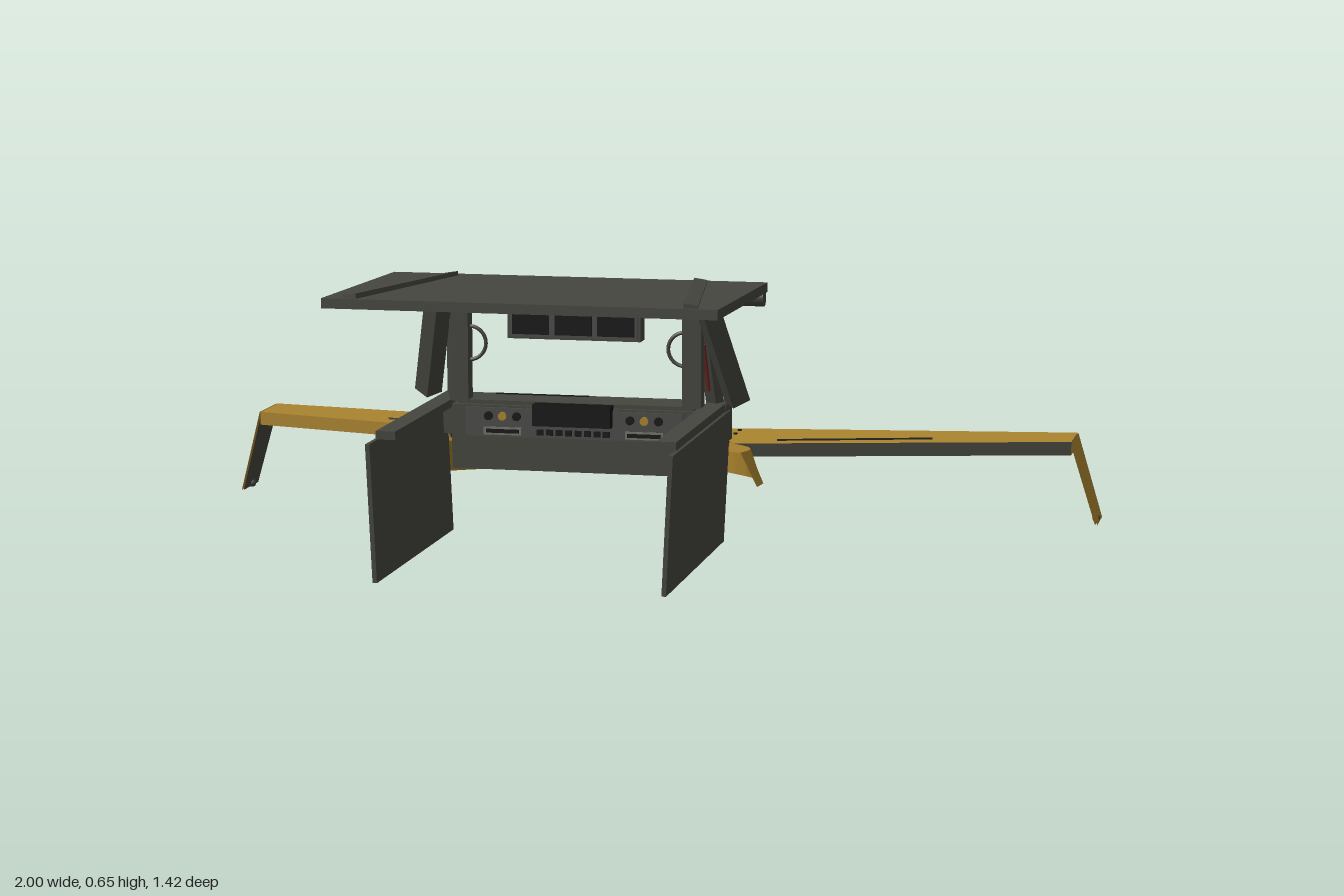
import * as THREE from 'three';

const mat = (name, color, side = THREE.DoubleSide) =>
  Object.assign(new THREE.MeshStandardMaterial({ color, side }), { name });

export function createModel() {
  const yellow = mat('ochre yellow', 0xab842f);
  const dark = mat('dark olive grey', 0x45463f);
  const grey = mat('mid grey', 0x4b4c49);
  const light = mat('light grey', 0x74746c);
  const black = mat('black', 0x131313);
  const red = mat('dark red', 0x6e2420);

  const model = new THREE.Group();
  model.name = 'foldingConsoleCraft';
  const V = (p) => new THREE.Vector3(...p);

  function add(name, geo, material) {
    const m = new THREE.Mesh(geo, material);
    m.name = name;
    model.add(m);
    return m;
  }
  function box(name, material, size, pos, rot = [0, 0, 0]) {
    const m = add(name, new THREE.BoxGeometry(...size), material);
    m.position.set(...pos);
    m.rotation.set(...rot);
    return m;
  }
  // Square or round bar running from a to b
  function bar(name, material, a, b, w, d = w, round = false) {
    const dir = V(b).sub(V(a)), len = dir.length();
    const geo = round ? new THREE.CylinderGeometry(w / 2, w / 2, len, 12) : new THREE.BoxGeometry(w, len, d);
    const m = add(name, geo, material);
    m.position.copy(V(a).add(V(b)).multiplyScalar(0.5));
    m.quaternion.setFromUnitVectors(new THREE.Vector3(0, 1, 0), dir.normalize());
    return m;
  }
  // Flat-faceted sheet spanning rows of points
  function sheet(name, material, rows) {
    const pos = [];
    for (let i = 0; i < rows.length - 1; i++)
      for (let j = 0; j < rows[i].length - 1; j++) {
        const a = rows[i][j], b = rows[i][j + 1], c = rows[i + 1][j + 1], d = rows[i + 1][j];
        pos.push(...a, ...b, ...c, ...a, ...c, ...d);
      }
    const geo = new THREE.BufferGeometry();
    geo.setAttribute('position', new THREE.Float32BufferAttribute(pos, 3));
    geo.computeVertexNormals();
    return add(name, geo, material);
  }

  // Tail shell, open below: z, lower half width, upper half width
  const stations = [[0.13, 0.365, 0.33], [-0.05, 0.345, 0.315], [-0.15, 0.322, 0.298],
    [-0.25, 0.292, 0.275], [-0.35, 0.25, 0.24], [-0.45, 0.205, 0.2], [-0.545, 0.16, 0.155]];
  const crownY = (z) => 0.28 - (0.13 - z) * 0.138;
  const lowY = (z) => 0.195 - (0.13 - z) * 0.134;
  const stripe = (z) => 0.085 - (0.13 - z) * 0.066;
  for (const s of [1, -1]) {
    sheet('tailShellSide', yellow, stations.map(([z, lo, up]) => {
      const p = [[s * up, crownY(z) - 0.014, z], [s * lo, lowY(z), z]];
      return s > 0 ? p : p.reverse();
    }));
    sheet('tailShellTop', yellow, stations.map(([z, , up]) => {
      const p = [[s * stripe(z), crownY(z), z], [s * up, crownY(z) - 0.014, z]];
      return s > 0 ? p : p.reverse();
    }));
    // Dark slots in the deck
    for (const z of [-0.13, -0.33])
      box('deckSlot', black, [0.12, 0.004, 0.007], [s * 0.14, crownY(z) - 0.004, z], [0.138, 0, -s * 0.04]);
  }
  sheet('deckStripe', grey, stations.map(([z]) => [[-stripe(z), crownY(z), z], [stripe(z), crownY(z), z]]));
  const end = -0.545;
  sheet('tailEndWall', yellow, [
    [[-0.155, crownY(end) - 0.014, end], [0.155, crownY(end) - 0.014, end]],
    [[-0.16, lowY(end), end], [0.16, lowY(end), end]]]);
  box('tailJoint', light, [0.3, 0.028, 0.025], [0, 0.17, -0.553]);
  box('tailLatch', grey, [0.29, 0.03, 0.02], [0.01, 0.155, -0.53]);

  // Wings: plan outline, slightly rising to the tip, with a drooping winglet
  const plan = [[0.155, -0.67], [0.155, -0.56], [0.2, -0.46], [0.94, -0.575], [0.94, -0.705]];
  const wingY = (x) => 0.183 + 0.017 * (x - 0.155);
  for (const s of [1, -1]) {
    const under = s > 0 ? dark : yellow;
    const at = ([x, z], drop) => [s * x, wingY(x) - drop, z];
    for (const [name, m, drop] of [['wingTop', yellow, 0], ['wingUnderside', under, 0.03]]) {
      const q = plan.map((p) => at(p, drop));
      sheet(name, m, [[q[0], q[1]], [q[4], q[2]]]);
      sheet(name, m, [[q[2], q[2]], [q[4], q[3]]]);
    }
    plan.forEach((p, i) => {
      const n = plan[(i + 1) % 5];
      sheet('wingEdge', i === 2 ? under : yellow, [[at(p, 0), at(n, 0)], [at(p, 0.03), at(n, 0.03)]]);
    });
    // Winglet outer and inner skins
    for (const [name, m, o] of [['wingletOuter', yellow, 0], ['wingletInner', s > 0 ? yellow : dark, 0.005]])
      sheet(name, m, [
        [[s * (0.942 - o), 0.196, -0.575], [s * (0.942 - o), 0.196, -0.705]],
        [[s * (0.998 - o), 0.005, -0.605], [s * (0.998 - o), 0.005, -0.713]]]);
    const foot = add('wingletFoot', new THREE.SphereGeometry(0.009, 10, 8), dark);
    foot.position.set(s * 0.99, 0.012, -0.66);
    bar('wingSlot', black, [s * 0.29, wingY(0.29), -0.512], [s * 0.63, wingY(0.63), -0.575], 0.007);
    if (s < 0) bar('wingLowerSlot', black, [s * 0.29, wingY(0.29) - 0.03, -0.512], [s * 0.63, wingY(0.63) - 0.03, -0.575], 0.007);
    for (const z of [-0.64, -0.59]) {
      const rivet = add('wingRivet', new THREE.CylinderGeometry(0.005, 0.005, 0.004, 8), black);
      rivet.position.set(s * 0.18, 0.184, z);
    }
  }

  // Hanging side panels, hinge rails and roof supports
  for (const s of [1, -1]) {
    bar('sidePanel', dark, [s * 0.291, 0.078, 0.42], [s * 0.304, 0.355, 0.42], 0.009, 0.58);
    box('hingeRail', dark, [0.04, 0.017, 0.555], [s * 0.283, 0.364, 0.375]);
    bar('roofPost', dark, [s * 0.246, 0.37, 0.212], [s * 0.246, 0.6, 0.215], 0.04, 0.036);
    bar('rearStrut', dark, [s * 0.262, 0.59, 0.21], [s * 0.285, 0.28, 0.115], 0.026);
    bar('outerStrut', dark, [s * 0.285, 0.575, 0.25], [s * 0.33, 0.38, 0.165], 0.04);
    bar('redCord', red, [s * 0.265, 0.5, 0.2], [s * 0.27, 0.4, 0.17], 0.006);
    bar('roofRoller', dark, [s * 0.2, 0.603, 0.22], [s * 0.395, 0.603, 0.22], 0.036, 0.036, true);
    bar('roofRib', dark, [s * 0.262, 0.632, 0.22], [s * 0.34, 0.643, 0.7], 0.028, 0.012);
    const grip = add('grabHandle', new THREE.TorusGeometry(0.035, 0.004, 6, 14, Math.PI), dark);
    grip.position.set(s * 0.228, 0.49, 0.21);
    grip.rotation.z = s * Math.PI / 2;
    box('rearHingeBlock', dark, [0.04, 0.08, 0.07], [s * 0.285, 0.33, 0.13]);
  }

  // Roof panel
  box('roofPanel', dark, [0.79, 0.02, 0.52], [0, 0.626, 0.45], [-0.02, 0, 0]);
  box('roofYellowTrim', yellow, [0.44, 0.012, 0.012], [0, 0.606, 0.22]);

  // Overhead display with three screens
  box('overheadDisplay', dark, [0.28, 0.075, 0.04], [0, 0.543, 0.215]);
  box('displayMount', dark, [0.2, 0.04, 0.03], [0, 0.595, 0.215]);
  box('displayFace', grey, [0.27, 0.065, 0.004], [0, 0.543, 0.237]);
  for (const x of [-0.09, 0, 0.09]) box('displayScreen', black, [0.078, 0.055, 0.004], [x, 0.543, 0.24]);

  // Instrument console
  box('consoleBody', dark, [0.52, 0.135, 0.11], [0, 0.297, 0.18]);
  box('consoleTop', dark, [0.5, 0.01, 0.1], [0, 0.368, 0.175]);
  box('consoleTopSlot', black, [0.2, 0.004, 0.007], [-0.09, 0.373, 0.138]);
  box('instrumentPanel', grey, [0.46, 0.06, 0.006], [0, 0.33, 0.237]);
  box('instrumentHood', black, [0.165, 0.045, 0.03], [0, 0.35, 0.245]);
  for (const s of [1, -1]) {
    box('sideReadout', light, [0.08, 0.016, 0.005], [s * 0.15, 0.312, 0.241]);
    box('sideReadoutScreen', black, [0.07, 0.008, 0.003], [s * 0.15, 0.312, 0.244]);
    for (let i = 0; i < 3; i++) {
      const knob = add('consoleKnob', new THREE.CylinderGeometry(0.009, 0.009, 0.008, 12), i === 1 ? yellow : black);
      knob.position.set(s * (0.12 + i * 0.03), 0.343, 0.242);
      knob.rotation.x = Math.PI / 2;
    }
  }
  for (let i = 0; i < 8; i++) box('consoleKey', black, [0.014, 0.012, 0.005], [-0.07 + i * 0.02, 0.312, 0.241]);

  return model;
}
